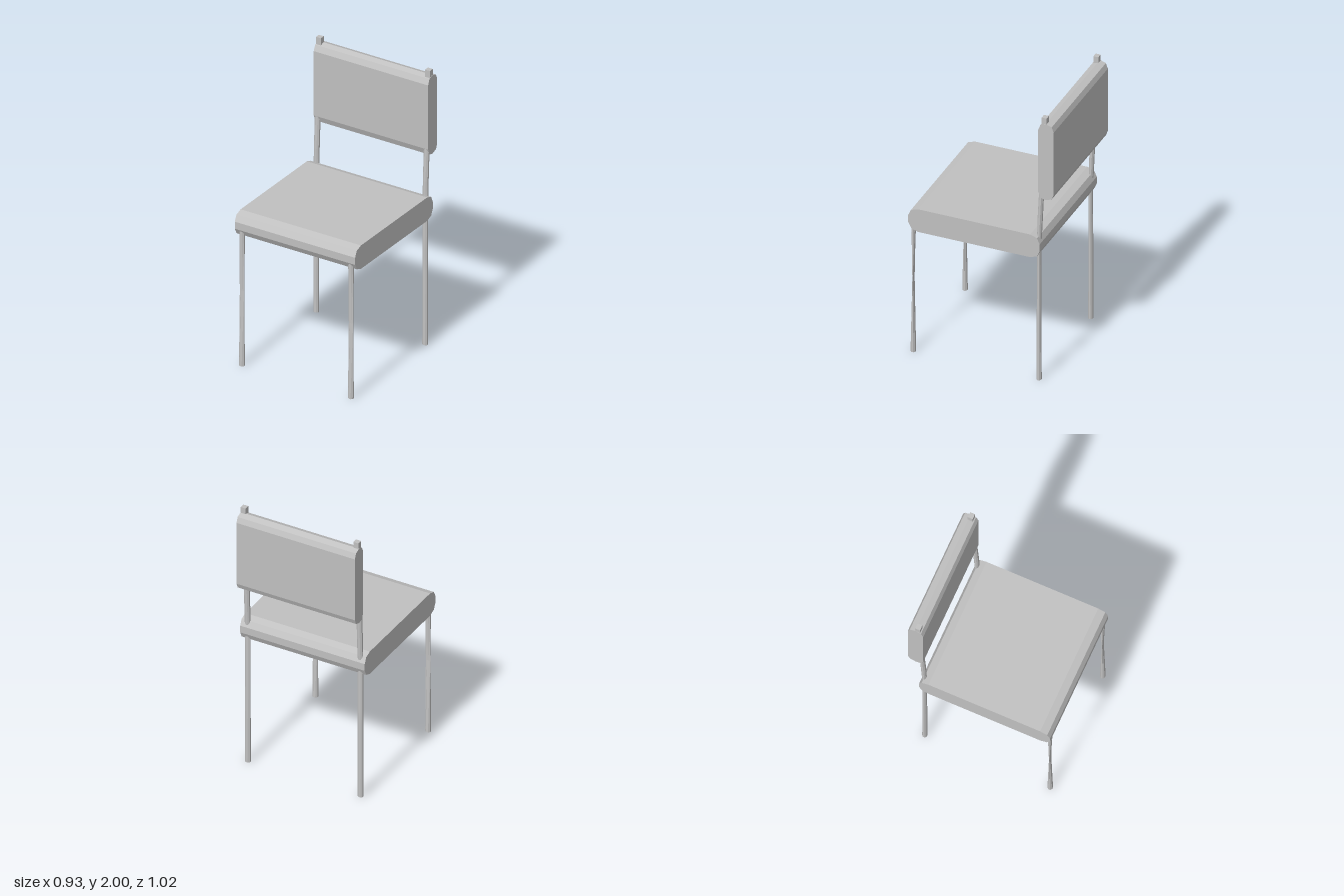
import * as THREE from 'three';

const grey = new THREE.MeshStandardMaterial({ color: 0xc0c0c0, flatShading: true });
grey.name = 'light grey';

function add(group, name, geometry) {
  const mesh = new THREE.Mesh(geometry, grey);
  mesh.name = name;
  group.add(mesh);
  return mesh;
}

// Cushion: a chamfered side profile in (z, y), extruded across x
function cushion(points, width) {
  const shape = new THREE.Shape(points.map(([z, y]) => new THREE.Vector2(-z, y)));
  const g = new THREE.ExtrudeGeometry(shape, { depth: width, bevelEnabled: false });
  g.translate(0, 0, -width / 2);
  g.rotateY(Math.PI / 2);
  return g;
}

// Octagonal rod through rings [y, z, radiusX, radiusZ], capped at both ends
function rod(x, rings) {
  const n = 8, pos = [], idx = [];
  for (const [y, z, rx, rz] of rings) {
    for (let i = 0; i < n; i++) {
      const a = ((i + 0.5) / n) * Math.PI * 2;
      pos.push(x + Math.cos(a) * rx, y, z + Math.sin(a) * rz);
    }
  }
  for (let r = 0; r < rings.length - 1; r++) {
    for (let i = 0; i < n; i++) {
      const a = r * n + i, b = r * n + ((i + 1) % n);
      idx.push(a, a + n, b, b, a + n, b + n);
    }
  }
  const top = (rings.length - 1) * n;
  for (let i = 1; i < n - 1; i++) {
    idx.push(0, i, i + 1);
    idx.push(top, top + i + 1, top + i);
  }
  const g = new THREE.BufferGeometry();
  g.setAttribute('position', new THREE.Float32BufferAttribute(pos, 3));
  g.setIndex(idx);
  const flat = g.toNonIndexed();
  flat.computeVertexNormals();
  return flat;
}

export function createModel() {
  const chair = new THREE.Group();
  chair.name = 'chair';

  add(chair, 'seat', cushion([
    [0.44, 1.11], [0.49, 1.093], [0.51, 1.05], [0.51, 0.998], [0.488, 0.956], [0.44, 0.938],
    [-0.355, 0.938], [-0.403, 0.956], [-0.422, 0.998], [-0.422, 1.05], [-0.403, 1.093], [-0.355, 1.11],
  ], 0.93));

  add(chair, 'backrest', cushion([
    [-0.402, 1.905], [-0.418, 1.945], [-0.456, 1.958], [-0.497, 1.943], [-0.511, 1.905],
    [-0.511, 1.433], [-0.497, 1.397], [-0.456, 1.381], [-0.418, 1.39], [-0.402, 1.433],
  ], 0.884));

  for (const [side, s] of [['left', 1], ['right', -1]]) {
    const x = 0.421 * s;
    // Front legs are pinched flat halfway up
    add(chair, side + 'FrontLeg', rod(x, [
      [0, 0.492, 0.02, 0.018], [0.55, 0.491, 0.018, 0.003], [0.99, 0.49, 0.02, 0.016],
    ]));
    add(chair, side + 'RearLeg', rod(x, [
      [0, -0.399, 0.02, 0.017], [1.0, -0.4, 0.02, 0.013],
    ]));
    // Leaning post carrying the backrest, with a square tip
    add(chair, side + 'BackPost', rod(x, [
      [1.0, -0.4, 0.02, 0.013], [1.2, -0.406, 0.02, 0.017], [1.44, -0.418, 0.02, 0.016], [1.9, -0.44, 0.02, 0.017],
    ]));
    add(chair, side + 'PostTip', new THREE.BoxGeometry(0.038, 0.12, 0.035)).position.set(x, 1.94, -0.443);
  }
  return chair;
}
